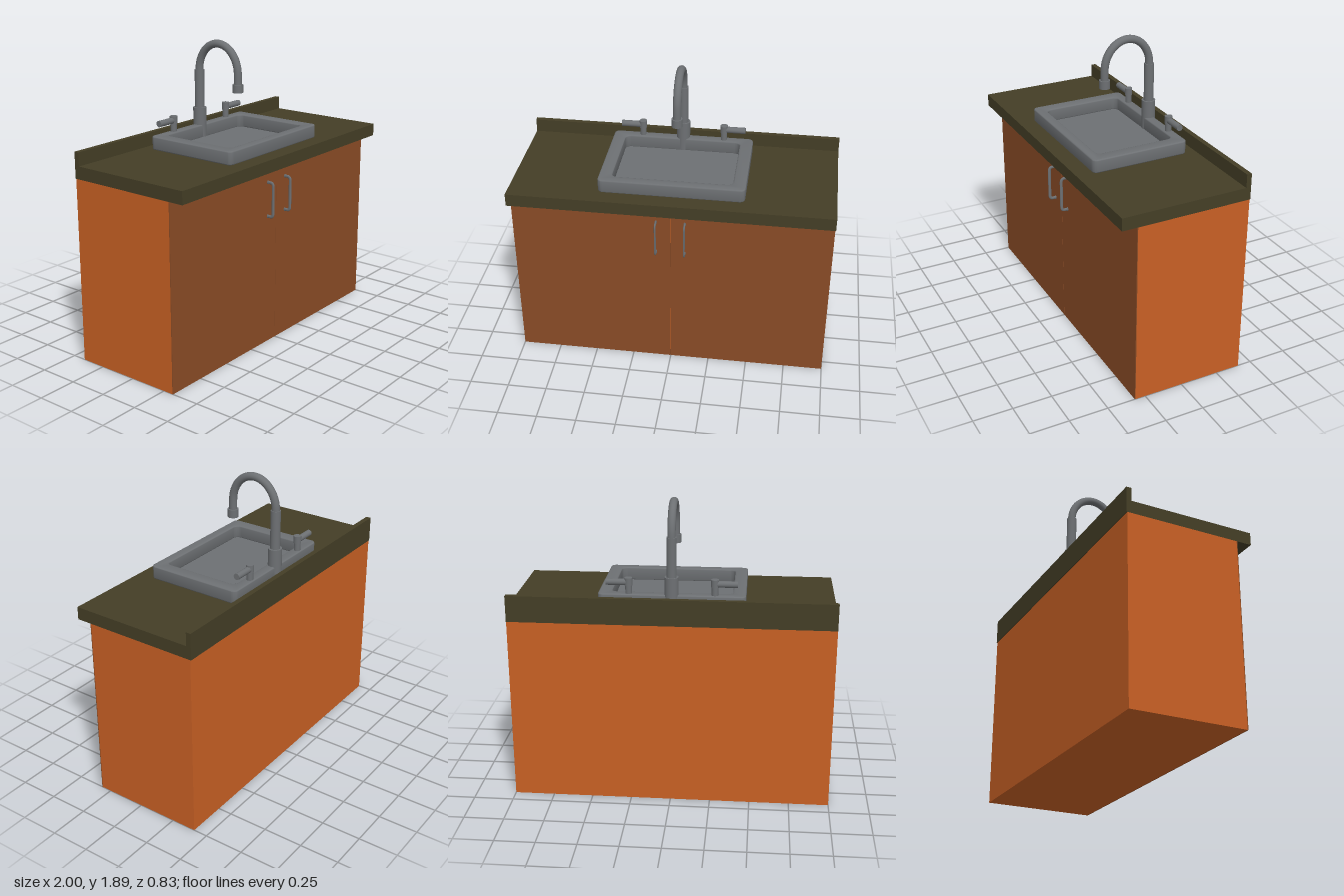
import * as THREE from 'three';
import { toCreasedNormals } from 'three/addons/utils/BufferGeometryUtils.js';

const mat = (color) => new THREE.MeshStandardMaterial({ color });

// Rounded rectangle in x/z, traced on a Shape or a Path
function roundedRect(path, x0, y0, x1, y1, r) {
  path.moveTo(x0 + r, y0);
  path.lineTo(x1 - r, y0);
  path.absarc(x1 - r, y0 + r, r, -Math.PI / 2, 0);
  path.lineTo(x1, y1 - r);
  path.absarc(x1 - r, y1 - r, r, 0, Math.PI / 2);
  path.lineTo(x0 + r, y1);
  path.absarc(x0 + r, y1 - r, r, Math.PI / 2, Math.PI);
  path.lineTo(x0, y0 + r);
  path.absarc(x0 + r, y0 + r, r, Math.PI, Math.PI * 1.5);
  return path;
}

export function createModel() {
  const model = new THREE.Group();
  model.name = 'sinkCabinet';
  const wood = mat(0xc86024), front = mat(0x8a4c26);
  const stone = mat(0x443e26), steel = mat(0x6d7073);

  const add = (name, geometry, material, parent = model) => {
    const mesh = new THREE.Mesh(geometry, material);
    mesh.name = name;
    parent.add(mesh);
    return mesh;
  };
  // Box given by its extents
  const box = (name, material, x0, x1, y0, y1, z0, z1) =>
    add(name, new THREE.BoxGeometry(x1 - x0, y1 - y0, z1 - z0), material)
      .position.set((x0 + x1) / 2, (y0 + y1) / 2, (z0 + z1) / 2);
  // Upright cylinder between two heights
  const post = (name, r, y0, y1, x, z, parent) =>
    add(name, new THREE.CylinderGeometry(r, r, y1 - y0, 32), steel, parent)
      .position.set(x, (y0 + y1) / 2, z);

  // Cabinet and worktop
  box('cabinet', wood, -1, 1, 0, 1.17, -0.41, 0.315);
  box('worktop', stone, -1, 1, 1.17, 1.25, -0.415, 0.415);
  box('backsplash', stone, -1, 1, 1.25, 1.335, -0.415, -0.383);

  // Doors with bowed pull handles
  for (const s of [-1, 1]) {
    const side = s > 0 ? 'left' : 'right';
    box(side + 'Door', front, s > 0 ? 0.001 : -1, s > 0 ? 1 : -0.001, 0, 1.17, 0.315, 0.32);
    const pull = new THREE.CurvePath();
    const v = (y, z) => new THREE.Vector3(0, y, z);
    pull.add(new THREE.LineCurve3(v(1.07, 0.318), v(1.07, 0.342)));
    pull.add(new THREE.QuadraticBezierCurve3(v(1.07, 0.342), v(1.07, 0.362), v(1.045, 0.362)));
    pull.add(new THREE.LineCurve3(v(1.045, 0.362), v(0.875, 0.362)));
    pull.add(new THREE.QuadraticBezierCurve3(v(0.875, 0.362), v(0.85, 0.362), v(0.85, 0.342)));
    pull.add(new THREE.LineCurve3(v(0.85, 0.342), v(0.85, 0.318)));
    const bar = add(side + 'DoorPull', new THREE.TubeGeometry(pull, 80, 0.01, 12), steel);
    bar.scale.x = 0.6;
    bar.position.x = s * 0.09;
    for (const y of [0.85, 1.07]) {
      const foot = add(side + 'PullFoot', new THREE.CylinderGeometry(0.012, 0.012, 0.006, 16), steel);
      foot.rotation.x = Math.PI / 2;
      foot.scale.x = 0.6;
      foot.position.set(s * 0.09, y, 0.323);
    }
  }

  // Sink: rounded rim block with an open basin (shape y becomes -z)
  const bevel = 0.008;
  const rim = roundedRect(new THREE.Shape(), -0.45, -0.312, 0.45, 0.32, 0.032);
  rim.holes.push(roundedRect(new THREE.Path(), -0.37, -0.25, 0.37, 0.258, 0.035));
  const rimGeo = new THREE.ExtrudeGeometry(rim, {
    depth: 0.085 - 2 * bevel, curveSegments: 8, bevelSize: bevel,
    bevelThickness: bevel, bevelOffset: -bevel, bevelSegments: 3,
  });
  rimGeo.translate(0, 0, bevel).rotateX(-Math.PI / 2);
  add('sinkRim', toCreasedNormals(rimGeo, 0.6), steel).position.y = 1.25;
  box('basinFloor', steel, -0.38, 0.38, 1.248, 1.254, -0.268, 0.26);

  // Gooseneck faucet
  const faucet = new THREE.Group();
  faucet.name = 'faucet';
  model.add(faucet);
  const zf = -0.297;
  post('faucetBase', 0.043, 1.25, 1.445, 0, zf, faucet);
  post('faucetStem', 0.031, 1.445, 1.69, 0, zf, faucet);
  const arc = [new THREE.Vector3(0, 1.67, zf)];
  for (let i = 0; i <= 16; i++) {
    const a = Math.PI * i / 16;
    arc.push(new THREE.Vector3(0, 1.69 + 0.18 * Math.sin(a), -0.141 - 0.156 * Math.cos(a)));
  }
  arc.push(new THREE.Vector3(0, 1.62, 0.015));
  add('spout', new THREE.TubeGeometry(new THREE.CatmullRomCurve3(arc), 64, 0.025, 20), steel, faucet);
  post('nozzle', 0.034, 1.578, 1.63, 0, 0.015, faucet);

  // Lever taps on either side
  for (const s of [-1, 1]) {
    const tap = new THREE.Group();
    tap.name = s > 0 ? 'leftTap' : 'rightTap';
    model.add(tap);
    post('tapPost', 0.02, 1.25, 1.39, s * 0.262, -0.293, tap);
    post('tapHead', 0.024, 1.385, 1.433, s * 0.262, -0.293, tap);
    const lever = add('tapLever', new THREE.CylinderGeometry(0.02, 0.02, 0.138, 24), steel, tap);
    lever.rotation.z = Math.PI / 2;
    lever.position.set(s * 0.331, 1.405, -0.293);
  }
  return model;
}
